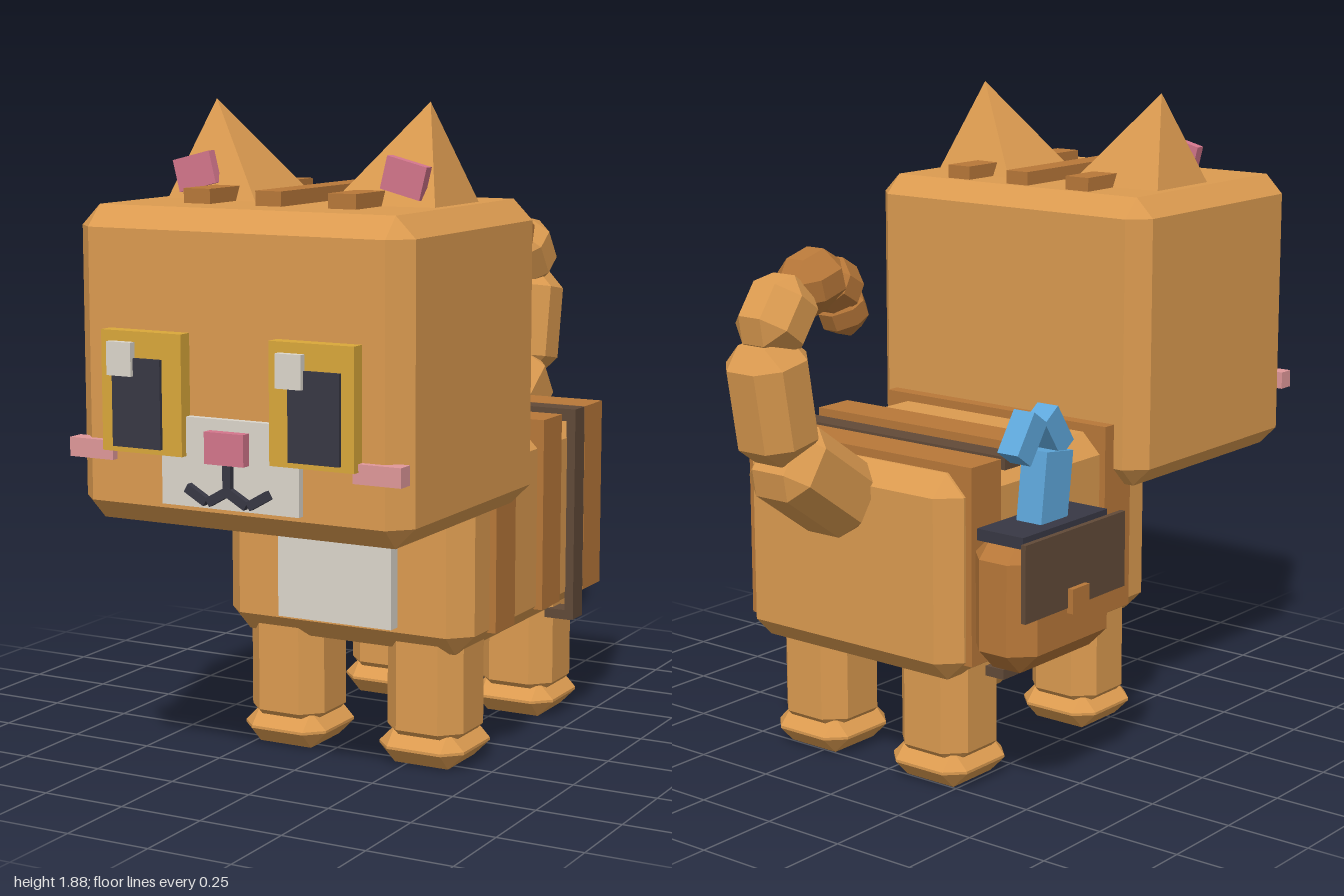
import * as THREE from 'three';
import { ConvexGeometry } from 'three/addons/geometries/ConvexGeometry.js';

const CX = 0.0725; // symmetry plane of the cat

const mat = (name, color) => {
  const m = new THREE.MeshStandardMaterial({ color });
  m.name = name;
  return m;
};

// Box with flat-cut edges and corners
function chamferBox(w, h, d, b) {
  const half = [w / 2, h / 2, d / 2];
  const pts = [];
  for (let axis = 0; axis < 3; axis++)
    for (const sx of [-1, 1]) for (const sy of [-1, 1]) for (const sz of [-1, 1]) {
      const c = half.map((v, i) => (i === axis ? v : v - b));
      pts.push(new THREE.Vector3(c[0] * sx, c[1] * sy, c[2] * sz));
    }
  return new ConvexGeometry(pts);
}

export function createModel() {
  const orange = mat('orange fur', 0xdc9b50);
  const brown = mat('brown stripe', 0xb87839);
  const cream = mat('cream fur', 0xdcd6cc);
  const gold = mat('gold iris', 0xdaa83a);
  const dark = mat('charcoal', 0x383844);
  const pink = mat('pink', 0xd4768c);
  const blush = mat('blush pink', 0xe0989a);
  const blue = mat('fish blue', 0x5fa8dc);
  const leather = mat('dark leather', 0x614a38);

  const model = new THREE.Group();
  model.name = 'cat';

  const add = (name, geo, material, x, y, z) => {
    const mesh = new THREE.Mesh(geo, material);
    mesh.name = name;
    mesh.position.set(x, y, z);
    model.add(mesh);
    return mesh;
  };
  // Blocks given by their [min, max] range on each axis
  const mid = (r) => (r[0] + r[1]) / 2;
  const len = (r) => r[1] - r[0];
  const block = (name, material, x, y, z, bevel = 0) => add(name,
    bevel ? chamferBox(len(x), len(y), len(z), bevel) : new THREE.BoxGeometry(len(x), len(y), len(z)),
    material, mid(x), mid(y), mid(z));
  // Range mirrored across the cat's middle when s = 1 (given for the -x side)
  const side = (r, s) => (s < 0 ? r : [2 * CX - r[1], 2 * CX - r[0]]);

  // Head and body
  block('head', orange, [-0.43, 0.575], [0.765, 1.615], [0.12, 0.93], 0.057);
  block('body', orange, [-0.322, 0.467], [0.34, 0.93], [-0.61, 0.36], 0.06);
  block('chestPatch', cream, [-0.11, 0.255], [0.415, 0.8], [0.34, 0.398]);
  for (const z of [[0.078, 0.205], [-0.24, -0.112], [-0.542, -0.412]])
    block('bodyStripe', brown, [-0.342, 0.487], [0.39, 0.955], z);

  // Legs and paws
  for (const s of [-1, 1]) {
    for (const [name, z] of [['front', 0.205], ['back', -0.41]]) {
      block(name + 'Leg', orange, side([-0.274, -0.032], s), [0.05, 0.42], [z - 0.12, z + 0.12], 0.055);
      block(name + 'Paw', orange, side([-0.286, -0.016], s), [0, 0.108], [z - 0.135, z + 0.135], 0.05);
    }
  }

  // Ears: four-sided spikes leaning outward, with pink plates in front
  for (const s of [-1, 1]) {
    const px = (x) => (s < 0 ? x : 2 * CX - x);
    const ear = new ConvexGeometry([
      [-0.26, 1.885, 0.46], [-0.343, 1.605, 0.325], [-0.343, 1.605, 0.595],
      [-0.035, 1.605, 0.295], [-0.035, 1.605, 0.625],
    ].map(([x, y, z]) => new THREE.Vector3(px(x), y, z)));
    add('ear', ear, orange, 0, 0, 0);
    const inner = add('innerEar', new THREE.BoxGeometry(0.12, 0.09, 0.03), pink, px(-0.25), 1.69, 0.583);
    inner.rotation.z = -s * 0.245;
  }

  // Stripes on the crown
  for (const x of [[-0.19, -0.108], [0.033, 0.112], [0.253, 0.335]])
    block('headStripe', brown, x, [1.58, 1.655], [0.192, 0.745]);

  // Face
  for (const s of [-1, 1]) {
    block('iris', gold, side([-0.308, -0.06], s), [0.97, 1.293], [0.92, 0.972]);
    block('pupil', dark, side([-0.27, -0.12], s), [0.985, 1.223], [0.95, 0.982]);
    block('cheek', blush, side([-0.43, -0.292], s), [0.94, 0.992], [0.902, 0.951]);
  }
  for (const x of [[-0.279, -0.203], [0.235, 0.311]])
    block('eyeHighlight', cream, x, [1.175, 1.265], [0.96, 0.993]);
  block('muzzle', cream, [-0.136, 0.28], [0.837, 1.075], [0.92, 0.951]);
  block('nose', pink, [0.013, 0.132], [0.96, 1.045], [0.93, 0.98]);
  block('mouthStem', dark, [CX - 0.012, CX + 0.012], [0.882, 0.965], [0.94, 0.968]);
  for (const s of [-1, 1]) {
    const inner = add('mouthInner', new THREE.BoxGeometry(0.07, 0.025, 0.03), dark, CX + s * 0.028, 0.873, 0.955);
    inner.rotation.z = -s * 0.52;
    const outer = add('mouthOuter', new THREE.BoxGeometry(0.068, 0.025, 0.03), dark, CX + s * 0.094, 0.873, 0.955);
    outer.rotation.z = s * 0.52;
  }

  // Tail: [z, y, width, length, tilt, material], curling up and forward
  [
    [-0.72, 0.893, 0.225, 0.36, -0.96, orange],
    [-0.876, 1.143, 0.208, 0.335, -0.17, orange],
    [-0.852, 1.37, 0.187, 0.215, 0.62, orange],
    [-0.715, 1.445, 0.165, 0.19, 1.3, brown],
    [-0.625, 1.42, 0.15, 0.16, 2.1, brown],
    [-0.59, 1.35, 0.135, 0.135, 2.7, brown],
  ].forEach(([z, y, w, l, tilt, m]) => {
    add('tailSegment', chamferBox(w, l, w, Math.min(0.055, w * 0.32)), m, CX, y, z).rotation.x = tilt;
  });

  // Strap around the body
  const strapZ = [-0.395, -0.326];
  block('strapTop', leather, [-0.342, 0.493], [0.92, 0.957], strapZ);
  block('strapSide', leather, [0.465, 0.493], [0.315, 0.957], strapZ);
  block('strapBottom', leather, [-0.338, 0.485], [0.313, 0.342], strapZ);

  // Saddle bag with lid, flap and buckle
  block('bag', brown, [-0.553, -0.34], [0.4, 0.778], [-0.582, -0.142], 0.06);
  block('bagLid', dark, [-0.525, -0.368], [0.76, 0.793], [-0.55, -0.166]);
  block('bagFlap', leather, [-0.566, -0.55], [0.57, 0.788], [-0.592, -0.137]);
  block('bagBuckle', brown, [-0.582, -0.562], [0.555, 0.625], [-0.402, -0.325]);

  // Fish sticking out of the bag, tail up
  add('fishBody', new THREE.BoxGeometry(0.085, 0.28, 0.12), blue, -0.442, 0.845, -0.35).rotation.x = 0.13;
  for (const [z, tilt] of [[-0.327, -0.6], [-0.448, 0.6]])
    add('fishTailFin', new THREE.BoxGeometry(0.07, 0.13, 0.07), blue, -0.443, 1.037, z).rotation.x = tilt;

  return model;
}
